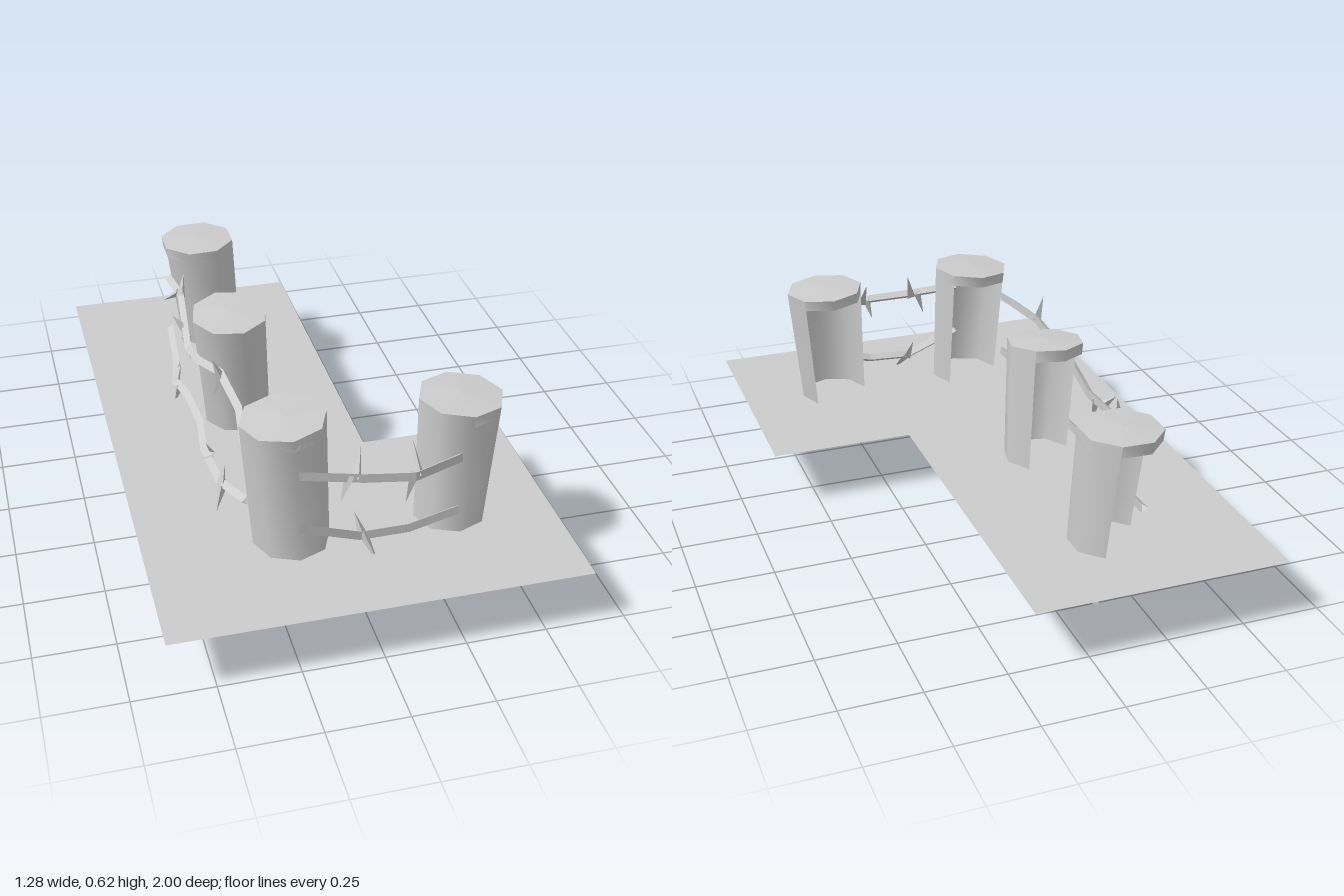
import * as THREE from 'three';

const grey = new THREE.MeshStandardMaterial({ color: 0xcccccc, side: THREE.DoubleSide });
grey.name = 'plain grey';

const V = (p) => new THREE.Vector3(...p);

function makeMesh(geometry, name) {
  const mesh = new THREE.Mesh(geometry, grey);
  mesh.name = name;
  return mesh;
}

// Joins equal-length cross-sections into one surface
function loft(rings, closed) {
  const n = rings[0].length, pos = [], idx = [];
  rings.forEach((r) => r.forEach((p) => pos.push(...p)));
  for (let j = 0; j < rings.length - 1; j++) {
    for (let i = 0; i < (closed ? n : n - 1); i++) {
      const a = j * n + i, b = j * n + (i + 1) % n;
      idx.push(a, a + n, b, b, a + n, b + n);
    }
  }
  const g = new THREE.BufferGeometry();
  g.setAttribute('position', new THREE.Float32BufferAttribute(pos, 3));
  g.setIndex(idx);
  g.computeVertexNormals();
  return g;
}

// Leaning eight-sided stump: wall open on three sides, with a closed lid
function makePost({ top, bottom, rTop, rBottom, start, tiltX, tiltZ }) {
  const post = new THREE.Group();
  post.name = 'post';
  const ring = (t, sides) => Array.from({ length: sides + 1 }, (_, k) => {
    const a = THREE.MathUtils.degToRad(start + k * 45);
    const r = THREE.MathUtils.lerp(rTop, rBottom, t);
    const c = V(top).lerp(V(bottom), t);
    const dx = r * Math.cos(a), dz = r * Math.sin(a);
    const chip = t === 1 ? 0.012 * Math.sin(k * 2.3) : 0;
    return [c.x + dx, c.y + tiltX * dx + tiltZ * dz + chip, c.z + dz];
  });
  post.add(makeMesh(loft([ring(0, 5), ring(0.5, 5), ring(1, 5)], false), 'postWall'));
  const rim = ring(0, 7), skirt = ring(0.07, 7);
  const centre = rim.map(() => [top[0], top[1] + 0.008, top[2]]);
  post.add(makeMesh(loft([centre, rim], true), 'postLid'));
  post.add(makeMesh(loft([rim, skirt], true), 'postLidEdge'));
  return post;
}

// Three-sided wire strand that bends at each point
function makeWire(points, name) {
  const path = new THREE.CurvePath();
  for (let i = 0; i < points.length - 1; i++) path.add(new THREE.LineCurve3(V(points[i]), V(points[i + 1])));
  const rings = points.map((p, i) => {
    const d = V(points[Math.min(i + 1, points.length - 1)]).sub(V(points[Math.max(i - 1, 0)])).normalize();
    const side = new THREE.Vector3().crossVectors(d, new THREE.Vector3(0, 1, 0)).normalize();
    const up = new THREE.Vector3().crossVectors(side, d);
    return [[0.009, 0.015], [0.009, -0.015], [-0.012, 0]].map(([s, u]) =>
      V(p).addScaledVector(side, s).addScaledVector(up, u).toArray());
  });
  const g = loft(rings, true).toNonIndexed();
  g.computeVertexNormals();
  return makeMesh(g, name);
}

// Sharp sliver from a wire to its tip
function makeThorn(base, tip) {
  const d = V(tip).sub(V(base));
  const g = new THREE.ConeGeometry(0.018, d.length(), 3, 1).toNonIndexed();
  g.computeVertexNormals();
  const thorn = makeMesh(g, 'thorn');
  thorn.position.copy(V(base)).addScaledVector(d, 0.5);
  thorn.quaternion.setFromUnitVectors(new THREE.Vector3(0, 1, 0), d.normalize());
  return thorn;
}

export function createModel() {
  const model = new THREE.Group();
  model.name = 'barbedFenceCorner';

  // L-shaped ground sheet
  const outline = [[-0.64, 1], [0.64, 1], [0.64, 0.17], [0.17, 0.17], [0.17, -1], [-0.64, -1]];
  const sheet = new THREE.ShapeGeometry(new THREE.Shape(outline.map(([x, z]) => new THREE.Vector2(x, -z))));
  sheet.rotateX(-Math.PI / 2);
  const ground = makeMesh(sheet, 'groundSheet');
  ground.position.y = 0.185;
  model.add(ground);

  // Posts
  [
    { top: [-0.21, 0.565, -0.705], bottom: [-0.165, 0.013, -0.685], rTop: 0.13, rBottom: 0.108, start: -67.5, tiltX: 0.02, tiltZ: 0 },
    { top: [-0.22, 0.59, -0.09], bottom: [-0.185, 0.04, -0.115], rTop: 0.127, rBottom: 0.11, start: -55, tiltX: 0.03, tiltZ: -0.1 },
    { top: [-0.205, 0.608, 0.59], bottom: [-0.18, 0.07, 0.615], rTop: 0.132, rBottom: 0.115, start: -45, tiltX: 0.06, tiltZ: 0 },
    { top: [0.345, 0.597, 0.58], bottom: [0.315, 0.085, 0.6], rTop: 0.132, rBottom: 0.11, start: -45, tiltX: -0.04, tiltZ: 0 },
  ].forEach((p) => model.add(makePost(p)));

  // Wires
  model.add(makeWire([[-0.19, 0.485, 0.71], [0, 0.465, 0.74], [0.15, 0.457, 0.758], [0.305, 0.47, 0.715]], 'frontUpperWire'));
  model.add(makeWire([[-0.19, 0.305, 0.72], [0, 0.235, 0.71], [0.15, 0.24, 0.715], [0.305, 0.285, 0.72]], 'frontLowerWire'));
  model.add(makeWire([[-0.31, 0.5, 0.53], [-0.295, 0.53, 0.4], [-0.31, 0.54, 0.2], [-0.345, 0.475, 0],
    [-0.345, 0.42, -0.18], [-0.315, 0.465, -0.47], [-0.33, 0.445, -0.65]], 'sideUpperWire'));
  model.add(makeWire([[-0.31, 0.285, 0.53], [-0.355, 0.255, 0.38], [-0.36, 0.218, 0.13], [-0.345, 0.235, 0],
    [-0.355, 0.235, -0.18], [-0.375, 0.22, -0.3], [-0.345, 0.212, -0.45], [-0.33, 0.24, -0.65]], 'sideLowerWire'));

  // Thorns: base on a wire, then tip
  [
    [[-0.02, 0.46, 0.735], [0, 0.55, 0.7]], [[-0.04, 0.475, 0.735], [-0.07, 0.385, 0.74]],
    [[0.165, 0.45, 0.755], [0.16, 0.54, 0.69]], [[0.145, 0.465, 0.755], [0.12, 0.375, 0.77]],
    [[0.01, 0.23, 0.71], [-0.01, 0.3, 0.68]], [[0.01, 0.24, 0.71], [0.045, 0.157, 0.77]],
    [[-0.31, 0.53, 0.21], [-0.34, 0.61, 0.22]], [[-0.31, 0.54, 0.22], [-0.345, 0.49, 0.24]],
    [[-0.34, 0.43, -0.24], [-0.33, 0.345, -0.24]], [[-0.335, 0.43, -0.3], [-0.37, 0.47, -0.33]],
    [[-0.315, 0.46, -0.47], [-0.3, 0.545, -0.485]], [[-0.32, 0.465, -0.5], [-0.37, 0.43, -0.52]],
    [[-0.355, 0.25, 0.39], [-0.34, 0.325, 0.38]], [[-0.355, 0.26, 0.4], [-0.38, 0.187, 0.43]],
    [[-0.36, 0.225, 0.12], [-0.32, 0.187, 0.11]], [[-0.36, 0.22, 0.2], [-0.34, 0.26, 0.22]],
    [[-0.37, 0.225, -0.27], [-0.39, 0.17, -0.25]], [[-0.375, 0.215, -0.3], [-0.35, 0.285, -0.32]],
  ].forEach(([base, tip]) => model.add(makeThorn(base, tip)));

  return model;
}
